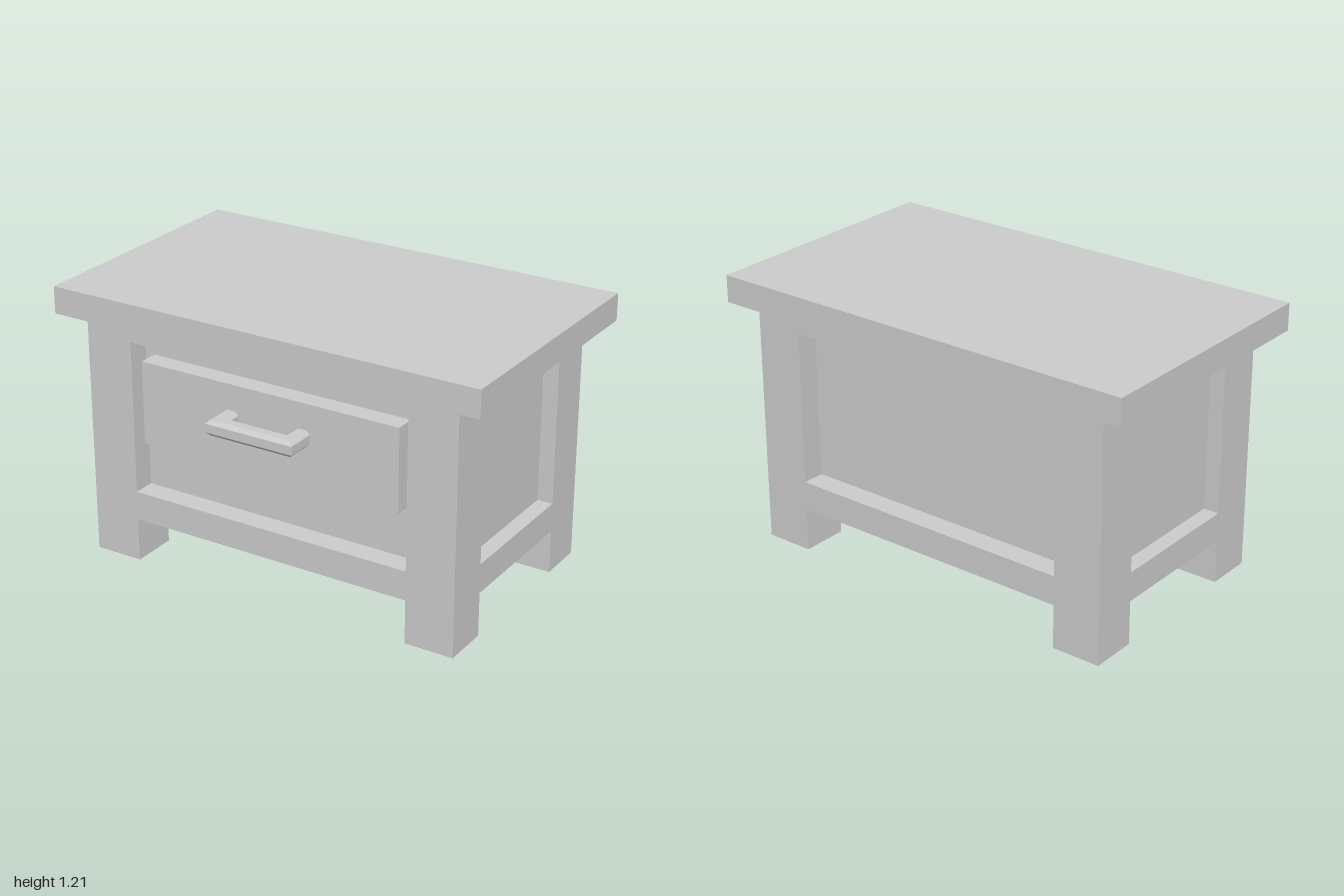
import * as THREE from 'three';

const material = new THREE.MeshStandardMaterial({ color: 0xcccccc, flatShading: true });

export function createModel() {
  const model = new THREE.Group();

  // box given by its extents along each axis
  const box = (name, [x0, x1], [y0, y1], [z0, z1]) => {
    const mesh = new THREE.Mesh(new THREE.BoxGeometry(x1 - x0, y1 - y0, z1 - z0), material);
    mesh.position.set((x0 + x1) / 2, (y0 + y1) / 2, (z0 + z1) / 2);
    mesh.name = name;
    model.add(mesh);
  };

  const top = 1.085, bottom = 0.195;
  const halfX = 0.88, innerX = 0.66, panelX = 0.81;
  const front = 0.495, frontInner = 0.285, frontPanel = 0.395;
  const back = -0.555, backInner = -0.345, backPanel = -0.455;

  box('tableTop', [-1, 1], [top, 1.205], [-0.615, 0.555]);

  // recessed panels on all four sides and the underside
  box('cabinetCore', [-panelX, panelX], [bottom, top], [backPanel, frontPanel]);

  // corner posts running down into legs
  for (const [side, x] of [['left', [innerX, halfX]], ['right', [-halfX, -innerX]]]) {
    box(side + 'FrontLeg', x, [0, top], [frontInner, front]);
    box(side + 'BackLeg', x, [0, top], [back, backInner]);
  }

  // rails framing the panels
  for (const [level, y] of [['Lower', [bottom, 0.325]], ['Upper', [1.01, top]]]) {
    box('front' + level + 'Rail', [-innerX, innerX], y, [frontPanel, front]);
    box('back' + level + 'Rail', [-innerX, innerX], y, [back, backPanel]);
    box('left' + level + 'Rail', [panelX, halfX], y, [backInner, frontInner]);
    box('right' + level + 'Rail', [-halfX, -panelX], y, [backInner, frontInner]);
  }

  box('drawerFront', [-0.615, 0.615], [0.56, 0.93], [frontPanel, 0.483]);
  model.add(createHandle());
  return model;
}

// U-shaped pull: a chamfered square section swept round two mitred corners
function createHandle() {
  const r = 0.035, c = 0.019;
  const section = [[r, -c], [r, c], [c, r], [-c, r], [-r, c], [-r, -c], [-c, -r], [c, -r]];
  const n = section.length;
  const path = [[-1, false], [-1, true], [1, true], [1, false]];
  const positions = [], index = [];
  path.forEach(([sign, corner], k) => {
    section.forEach(([u, v], i) => {
      positions.push(sign * (0.171 + u), 0.78 + v, corner ? 0.58 + u : 0.475);
      if (k === path.length - 1) return;
      const j = (i + 1) % n, a = k * n, b = a + n;
      index.push(a + i, b + i, b + j, a + i, b + j, a + j);
    });
  });
  const geometry = new THREE.BufferGeometry();
  geometry.setAttribute('position', new THREE.Float32BufferAttribute(positions, 3));
  geometry.setIndex(index);
  const flat = geometry.toNonIndexed();
  flat.computeVertexNormals();
  const handle = new THREE.Mesh(flat, material);
  handle.name = 'drawerHandle';
  return handle;
}
